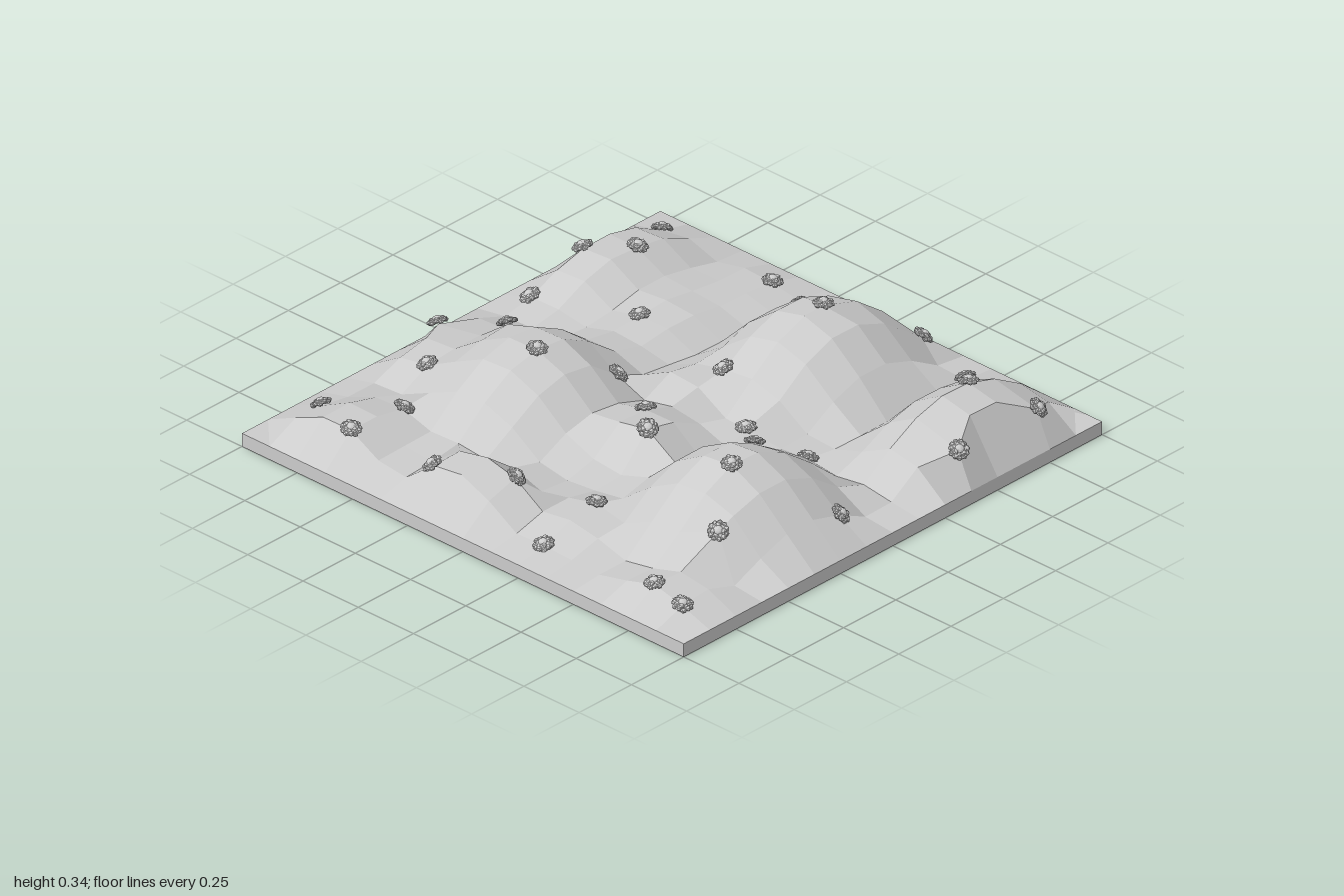
import * as THREE from 'three';
import { mergeGeometries } from 'three/addons/utils/BufferGeometryUtils.js';

const BASE = 0.05;

// hills: centre x, centre z, radius x, radius z, peak height
const HILLS = [
  [-0.31, 0.58, 0.45, 0.41, 0.32],
  [0.56, 0.12, 0.46, 0.39, 0.32],
  [0.55, 0.78, 0.48, 0.29, 0.265],
  [-0.23, -0.42, 0.47, 0.42, 0.31],
  [-0.8, -0.15, 0.24, 0.28, 0.21],
  [-0.8, -0.7, 0.34, 0.28, 0.17],
  [-0.16, 0.04, 0.27, 0.22, 0.2],
  [0.15, -0.08, 0.24, 0.25, 0.165],
  [0.57, -0.8, 0.42, 0.26, 0.19],
  [0.42, -0.46, 0.42, 0.25, 0.13],
  [-0.83, 0.78, 0.24, 0.24, 0.13],
  [-0.68, 0.25, 0.3, 0.25, 0.12],
  [-0.2, -0.8, 0.4, 0.25, 0.16],
  [0.8, -0.42, 0.28, 0.22, 0.1],
];

// shrubs: x, z, ground height
const SHRUBS = [
  [-0.875, 0.875, 0.09], [-0.875, 0.75, 0.125], [-0.57, 0.75, 0.195], [-0.375, 0.625, 0.315],
  [-0.125, 0.875, 0.12], [-0.875, 0.25, 0.07], [-0.625, 0.25, 0.125], [-0.75, 0, 0.175],
  [-0.875, -0.25, 0.175], [-0.875, -0.625, 0.16], [-0.625, -0.625, 0.135], [-0.75, -0.875, 0.1],
  [-0.375, -0.75, 0.145], [-0.25, -0.375, 0.3], [-0.125, -0.625, 0.245], [-0.125, -0.94, 0.12],
  [0, -0.25, 0.15], [-0.125, 0, 0.17], [-0.25, 0.125, 0.2], [0.25, 0, 0.165],
  [0.09, 0.25, 0.105], [0.12, 0.5, 0.08], [-0.135, 0.5, 0.245], [0.59, 0.125, 0.315],
  [0.375, -0.5, 0.115], [0.25, -0.875, 0.09], [0.5, -0.875, 0.17], [0.625, -0.75, 0.17],
  [0.875, -0.875, 0.08], [0.875, -0.375, 0.08], [0.75, -0.125, 0.15], [0.93, 0.25, 0.1],
  [0.625, 0.75, 0.255], [0.75, 0.62, 0.165], [0.375, 0.94, 0.18], [0.75, 0.94, 0.18],
];

// overlapping rounded hills: the highest one wins
function hills(x, z) {
  let y = BASE + 0.01;
  for (const [cx, cz, rx, rz, top] of HILLS) {
    const d2 = ((x - cx) / rx) ** 2 + ((z - cz) / rz) ** 2;
    if (d2 < 1) y = Math.max(y, BASE + (top - BASE) * (1 - d2) ** 1.25);
  }
  return y;
}

const OFFSETS = SHRUBS.map(([x, z, h]) => h - hills(x, z));

// hills gently pulled to the ground height under each shrub
function height(x, z) {
  let sum = 0, weight = 0;
  SHRUBS.forEach(([sx, sz], i) => {
    const w = Math.exp(-((x - sx) ** 2 + (z - sz) ** 2) / 0.007);
    sum += w * OFFSETS[i];
    weight += w;
  });
  return Math.max(BASE + 0.005, hills(x, z) + sum / Math.max(1, weight));
}

// ground of square facets, its rim meeting the slab; vertices slide to nearby shrubs
function terrainGeometry() {
  const grid = new THREE.PlaneGeometry(2, 2, 16, 16).rotateX(-Math.PI / 2);
  const pos = grid.attributes.position;
  for (let i = 0; i < pos.count; i++) {
    let x = pos.getX(i), z = pos.getZ(i), y = BASE;
    if (Math.max(Math.abs(x), Math.abs(z)) < 0.99) {
      const near = SHRUBS.find(s => Math.abs(s[0] - x) < 0.066 && Math.abs(s[1] - z) < 0.066);
      if (near) [x, z] = near;
      y = height(x, z);
    }
    pos.setXYZ(i, x, y, z);
  }
  const geo = grid.toNonIndexed();
  geo.computeVertexNormals();
  // both triangles of a square share one normal
  const normals = geo.attributes.normal;
  const n = new THREE.Vector3(), m = new THREE.Vector3();
  for (let i = 0; i < normals.count; i += 6) {
    n.fromBufferAttribute(normals, i).add(m.fromBufferAttribute(normals, i + 3)).normalize();
    for (let k = 0; k < 6; k++) normals.setXYZ(i + k, n.x, n.y, n.z);
  }
  return geo;
}

// low bush: a raised crown above two rings of small clumps
function shrubGeometry() {
  const parts = [new THREE.IcosahedronGeometry(0.017, 1).scale(1, 0.7, 1).translate(0, 0.018, 0)];
  for (const [count, ring, size, y] of [[7, 0.017, 0.013, 0.013], [11, 0.027, 0.012, 0.008]]) {
    for (let i = 0; i < count; i++) {
      const a = (i / count) * Math.PI * 2;
      parts.push(new THREE.IcosahedronGeometry(size, 0)
        .scale(1, 0.7, 1)
        .rotateY(a)
        .translate(Math.cos(a) * ring, y + 0.004 * (i % 2), Math.sin(a) * ring));
    }
  }
  return mergeGeometries(parts);
}

export function createModel() {
  const model = new THREE.Group();
  model.name = 'hillyLandscape';
  const ground = new THREE.MeshStandardMaterial({ color: 0xcccccc });
  const foliage = new THREE.MeshStandardMaterial({ color: 0xcccccc, flatShading: true });

  const slab = new THREE.Mesh(new THREE.BoxGeometry(2, BASE, 2).translate(0, BASE / 2, 0), ground);
  slab.name = 'baseSlab';
  const terrain = new THREE.Mesh(terrainGeometry(), ground);
  terrain.name = 'terrain';
  model.add(slab, terrain);

  // shrubs lean with the slope
  const shrubs = new THREE.Group();
  shrubs.name = 'shrubs';
  const geo = shrubGeometry();
  const up = new THREE.Vector3(0, 1, 0);
  const e = 0.06;
  SHRUBS.forEach(([x, z], i) => {
    const shrub = new THREE.Mesh(geo, foliage);
    shrub.name = 'shrub' + (i + 1);
    shrub.position.set(x, height(x, z), z);
    const normal = new THREE.Vector3(
      height(x - e, z) - height(x + e, z), 2 * e, height(x, z - e) - height(x, z + e)).normalize();
    shrub.quaternion.setFromUnitVectors(up, normal);
    shrub.rotateY(i * 1.7);
    shrubs.add(shrub);
  });
  model.add(shrubs);
  return model;
}
